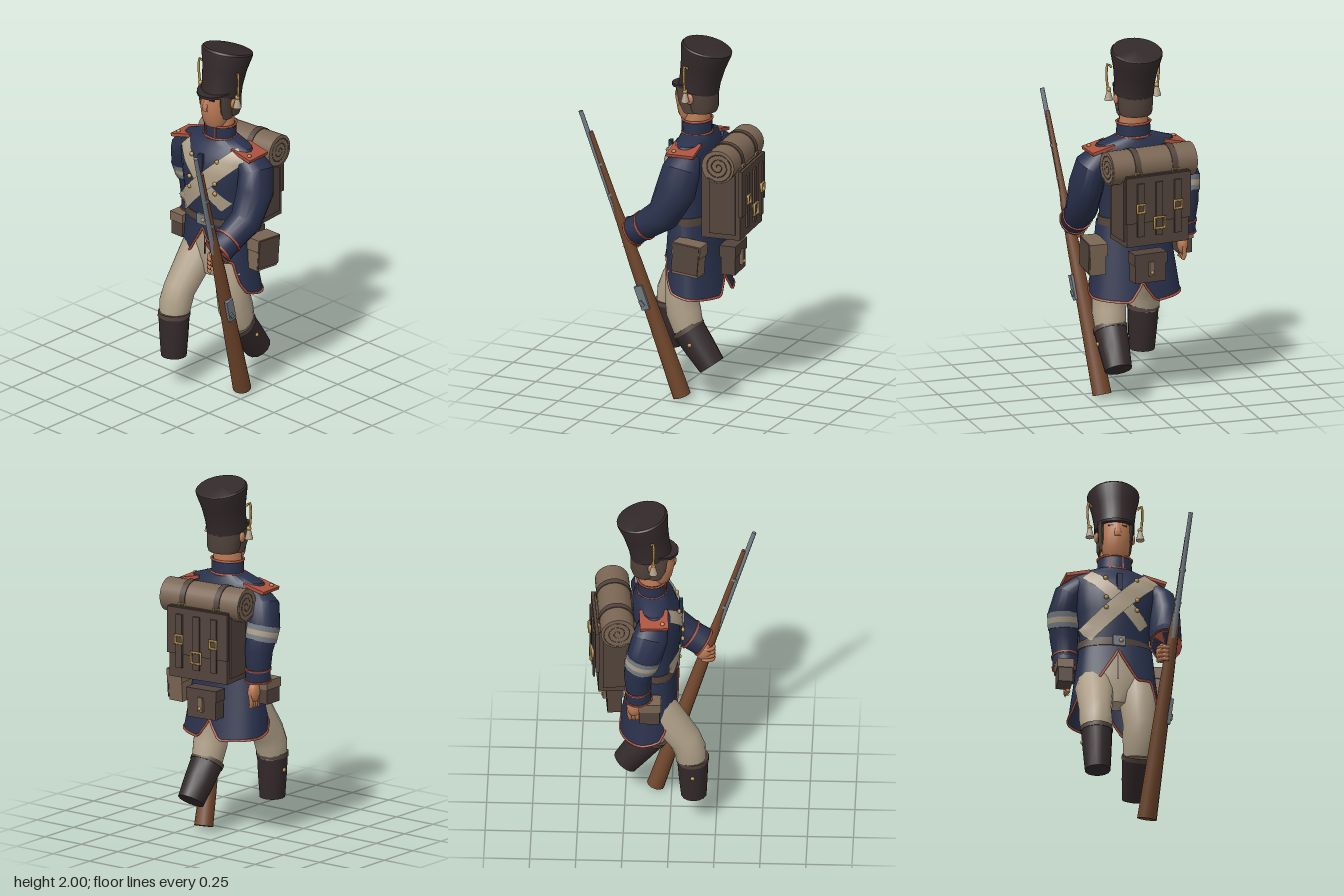
import * as THREE from 'three';
import { toCreasedNormals } from 'three/addons/utils/BufferGeometryUtils.js';

export function createModel() {
  const model = new THREE.Group();
  const paint = (name, color, open) => {
    const m = new THREE.MeshStandardMaterial({ color });
    m.name = name;
    if (open) m.side = THREE.DoubleSide;
    return m;
  };
  const navy = paint('navy cloth', 0x29314c, true), red = paint('red trim', 0xac523e);
  const cream = paint('cream cloth', 0xb0a189, true), black = paint('black leather', 0x33292b);
  const brown = paint('brown leather', 0x53443c), tan = paint('tan canvas', 0x7b6654);
  const skin = paint('skin', 0xbd7c56), wood = paint('wood', 0x70462b);
  const steel = paint('steel', 0x747d86), gold = paint('brass', 0xb5904a);

  const add = (name, geo, mat, parent = model, p = [0, 0, 0], r = [0, 0, 0], s = [1, 1, 1]) => {
    const m = new THREE.Mesh(geo, mat);
    m.name = name;
    m.position.set(...p); m.rotation.set(...r); m.scale.set(...s);
    parent.add(m);
    return m;
  };
  const box = (name, mat, size, p, parent, r) => add(name, new THREE.BoxGeometry(...size), mat, parent, p, r);
  const ball = (name, mat, s, p, parent) => add(name, new THREE.SphereGeometry(1, 12, 8), mat, parent, p, [0, 0, 0], s);
  const tube = (name, mat, pts, r, parent, closed = false) => add(name, new THREE.TubeGeometry(
    new THREE.CatmullRomCurve3(pts.map(q => new THREE.Vector3(...q)), closed), pts.length * 3, r, 5, closed), mat, parent);

  // Closed skin over rings [x, y, z, rx, rz]; rings lie level, or square to the path when "bend" is set
  function loft(name, mat, rings, parent = model, bend = false, n = 14) {
    const pos = [], idx = [], c = rings.map(r => new THREE.Vector3(r[0], r[1], r[2]));
    rings.forEach((r, i) => {
      const t = new THREE.Vector3(0, 1, 0);
      if (bend) t.subVectors(c[Math.min(i + 1, c.length - 1)], c[Math.max(i - 1, 0)]).normalize();
      const u = new THREE.Vector3(1, 0, 0).addScaledVector(t, -t.x).normalize();
      const v = new THREE.Vector3().crossVectors(t, u);
      for (let j = 0; j < n; j++) {
        const a = j / n * Math.PI * 2;
        pos.push(...c[i].clone().addScaledVector(u, Math.cos(a) * r[3]).addScaledVector(v, Math.sin(a) * (r[4] ?? r[3])).toArray());
      }
    });
    const last = rings.length - 1, c0 = pos.length / 3;
    pos.push(...c[0].toArray(), ...c[last].toArray());
    for (let j = 0; j < n; j++) {
      const k = (j + 1) % n;
      for (let i = 0; i < last; i++) {
        const a = i * n + j, b = i * n + k;
        idx.push(a, b, b + n, a, b + n, a + n);
      }
      idx.push(c0, k, j, c0 + 1, last * n + j, last * n + k);
    }
    const g = new THREE.BufferGeometry();
    g.setAttribute('position', new THREE.Float32BufferAttribute(pos, 3));
    g.setIndex(idx);
    return add(name, toCreasedNormals(g, 0.65), mat, parent);
  }

  // Grid surface from a point rule
  function sheet(name, mat, nu, nv, rule, parent) {
    const pos = [], idx = [];
    for (let i = 0; i <= nu; i++) for (let j = 0; j <= nv; j++) pos.push(...rule(i / nu, j / nv));
    for (let i = 0; i < nu; i++) for (let j = 0; j < nv; j++) {
      const a = i * (nv + 1) + j, b = a + nv + 1;
      idx.push(a, a + 1, b, b, a + 1, b + 1);
    }
    const g = new THREE.BufferGeometry();
    g.setAttribute('position', new THREE.Float32BufferAttribute(pos, 3));
    g.setIndex(idx);
    g.computeVertexNormals();
    return add(name, g, mat, parent);
  }
  const lookup = (table, x) => {
    let i = 1;
    while (i < table.length - 1 && x > table[i][0]) i++;
    const [a, b] = [table[i - 1], table[i]], t = THREE.MathUtils.clamp((x - a[0]) / (b[0] - a[0]), 0, 1);
    return a.map((q, k) => THREE.MathUtils.lerp(q, b[k], t));
  };

  // Torso, turned slightly
  const torso = new THREE.Group();
  torso.name = 'upperBody';
  torso.rotation.y = 0.07;
  model.add(torso);
  const chest = [[0, 0.97, -0.085, 0.2, 0.115], [0, 1.06, -0.08, 0.195, 0.118], [0, 1.2, -0.075, 0.205, 0.135],
    [0, 1.33, -0.075, 0.225, 0.135], [0, 1.41, -0.09, 0.24, 0.118], [0, 1.45, -0.1, 0.22, 0.092], [0, 1.485, -0.1, 0.11, 0.08]];
  loft('coatBody', navy, chest, torso, false, 24);
  const chestZ = (x, y) => {
    const [, z, rx, rz] = lookup(chest.map(r => r.slice(1)), y);
    return z + rz * Math.sqrt(Math.max(0.15, 1 - (x / rx) ** 2));
  };
  const strap = (name, a, b, w, lift) => sheet(name, cream, 16, 2, (u, v) => {
    const dx = b[0] - a[0], dy = b[1] - a[1], l = Math.hypot(dx, dy), k = (v - 0.5) * w / l;
    const x = a[0] + dx * u - dy * k, y = a[1] + dy * u + dx * k;
    return [x, y, chestZ(x, y) + lift];
  }, torso);
  strap('crossBeltUnder', [-0.165, 1.42], [0.145, 1.115], 0.075, 0.006);
  strap('crossBeltOver', [0.206, 1.43], [-0.182, 1.05], 0.094, 0.014);
  for (const x of [-0.075, 0.098]) for (const y of [1.2, 1.26, 1.385])
    ball('coatButton', gold, [0.013, 0.013, 0.01], [x, y, chestZ(x, y) + 0.012], torso);
  box('coatPlacket', navy, [0.03, 0.1, 0.02], [0, 1.36, 0.056], torso);
  loft('waistBelt', brown, [[0, 0.99, -0.083, 0.207, 0.122], [0, 1.035, -0.083, 0.204, 0.122]], torso, false, 24);
  box('beltBuckle', steel, [0.07, 0.06, 0.012], [0, 1.015, 0.044], torso);
  ball('buckleStud', gold, [0.012, 0.012, 0.008], [0.01, 1.015, 0.051], torso);
  for (const s of [-1, 1]) {
    box('shoulderStrap', red, [0.135, 0.018, 0.155], [s * 0.212, 1.431, -0.1], torso, [0, 0, -s * 0.24]);
    ball('shoulderButton', gold, [0.012, 0.01, 0.012], [s * 0.25, 1.433, -0.055], torso);
  }

  // Collar
  loft('collar', navy, [[0, 1.46, -0.1, 0.096, 0.081], [0, 1.555, -0.1, 0.093, 0.079]], model, false, 18);
  for (const y of [1.482, 1.556]) tube('collarTrim', red, Array.from({ length: 16 }, (_, i) => {
    const a = i / 8 * Math.PI;
    return [Math.cos(a) * 0.094, y, -0.1 + Math.sin(a) * 0.08];
  }), 0.0065, model, true);
  for (const x of [-0.035, 0.035]) box('collarPiping', red, [0.008, 0.08, 0.008], [x, 1.52, -0.026]);

  // Coat skirt with cut-away front, side tails and back vent
  const hem = [[0, 0.96], [0.48, 0.79], [0.95, 0.8], [1.12, 0.68], [1.3, 0.62], [1.6, 0.595], [2.85, 0.58], [3.1416, 0.68]];
  const skirtPoint = (u, v) => {
    const phi = (u * 2 - 1) * Math.PI, low = lookup(hem, Math.abs(phi))[1], c = Math.cos(phi);
    const y = THREE.MathUtils.lerp(1.0, low, v), k = (1 - y) / 0.42;
    const depth = c > 0 ? (0.12 + 0.05 * k) * c ** 0.7 : (0.12 + 0.03 * k) * c;
    return [Math.sin(phi) * (0.2 + 0.055 * k), y, -0.085 - 0.045 * k + depth + (c > 0 ? 0.02 * k * c : 0)];
  };
  sheet('coatSkirt', navy, 72, 5, skirtPoint);
  tube('skirtTrim', red, Array.from({ length: 72 }, (_, i) => skirtPoint(i / 72, 1)), 0.007, model, true);

  // Breeches, calves and gaiters
  loft('breechesSeat', cream, [[0, 0.67, -0.06, 0.06, 0.06], [0, 0.76, -0.075, 0.15, 0.09], [0, 0.83, -0.08, 0.175, 0.1],
    [0, 0.99, -0.085, 0.185, 0.108]], model, false, 20);
  box('breechesFly', black, [0.006, 0.14, 0.006], [0, 0.87, 0.021]);
  loft('rightLeg', cream, [[-0.11, 0.9, -0.1, 0.085, 0.08], [-0.12, 0.74, -0.04, 0.105, 0.098], [-0.133, 0.57, 0.08, 0.09],
    [-0.135, 0.5, 0.108, 0.093, 0.088], [-0.135, 0.42, 0.12, 0.08]], model, true);
  loft('leftLeg', cream, [[0.11, 0.9, -0.1, 0.085, 0.08], [0.122, 0.72, -0.07, 0.104, 0.1], [0.132, 0.57, -0.065, 0.092],
    [0.135, 0.49, -0.08, 0.095, 0.098], [0.135, 0.39, -0.11, 0.085]], model, true);
  const gaiter = (side, top, end, r) => {
    const at = (t, k) => [...top.map((q, i) => THREE.MathUtils.lerp(q, end[i], t)), k];
    loft(side + 'Gaiter', black, [at(0, r), at(0.5, r * 0.93), at(1, r * 0.82)], model, true);
    loft(side + 'GaiterCuff', brown, [at(-0.03, r * 1.04), at(0.07, r * 1.04)], model, true);
    const p = at(0.35, 0);
    ball('gaiterButton', gold, [0.01, 0.012, 0.012], [p[0] + Math.sign(p[0]) * r * 0.94, p[1], p[2]]);
  };
  gaiter('right', [-0.133, 0.44, 0.123], [-0.128, 0.19, 0.13], 0.086);
  gaiter('left', [0.135, 0.395, -0.105], [0.137, 0.2, -0.25], 0.092);

  // Sleeves, cuffs and hands
  loft('leftSleeve', navy, [[0.195, 1.395, -0.12, 0.055, 0.085], [0.25, 1.335, -0.12, 0.083, 0.108], [0.268, 1.22, -0.095, 0.092, 0.114],
    [0.268, 1.07, -0.02, 0.088, 0.095], [0.245, 0.96, 0.14, 0.075]], model, true);
  loft('rightSleeve', navy, [[-0.195, 1.395, -0.09, 0.055, 0.08], [-0.25, 1.335, -0.105, 0.083, 0.1], [-0.276, 1.23, -0.135, 0.087, 0.097],
    [-0.268, 1.1, -0.17, 0.078], [-0.26, 0.96, -0.165, 0.066]], model, true);
  const cuff = (side, a, b, r) => {
    const at = t => a.map((q, i) => THREE.MathUtils.lerp(q, b[i], t));
    loft(side + 'Cuff', navy, [[...at(0), r], [...at(1), r]], model, true);
    for (const t of [0, 0.88]) loft(side + 'CuffTrim', red, [[...at(t), r + 0.006], [...at(t + 0.12), r + 0.006]], model, true);
  };
  cuff('left', [0.25, 0.99, 0.095], [0.242, 0.94, 0.175], 0.08);
  cuff('right', [-0.263, 1.0, -0.17], [-0.26, 0.925, -0.165], 0.07);
  const bands = [[steel, 0, 0.34], [cream, 0.34, 0.68], [steel, 0.68, 1]];
  for (const [mat, a, b] of bands) loft('armBand', mat, [a, b].map(t => [-0.276 + 0.004 * t, 1.237 - 0.085 * t, -0.135 - 0.022 * t, 0.09 - 0.004 * t, 0.1 - 0.008 * t]), model, true);
  ball('leftPalm', skin, [0.035, 0.055, 0.045], [0.22, 0.895, 0.17]);
  ball('rightPalm', skin, [0.03, 0.06, 0.042], [-0.25, 0.865, -0.19]);
  for (let i = 0; i < 4; i++) {
    const y = 0.925 - i * 0.024;
    tube('leftFinger', skin, [[0.2, y, 0.16], [0.203, y - 0.006, 0.195], [0.225, y - 0.012, 0.222], [0.25, y - 0.015, 0.225]], 0.012);
    tube('rightFinger', skin, [[-0.25, 0.855, -0.225 + i * 0.023], [-0.253, 0.805, -0.218 + i * 0.021], [-0.245, 0.78, -0.212 + i * 0.019]], 0.012);
  }

  // Head
  loft('neck', skin, [[0, 1.52, -0.1, 0.084, 0.074], [0, 1.64, -0.105, 0.076, 0.074]]);
  loft('face', skin, [[0, 1.552, -0.055, 0.055, 0.045], [0, 1.585, -0.06, 0.074, 0.066], [0, 1.67, -0.07, 0.084, 0.094], [0, 1.748, -0.085, 0.086, 0.097]], model, false, 18);
  loft('hair', brown, [[0, 1.605, -0.138, 0.086, 0.072], [0, 1.63, -0.135, 0.095, 0.084], [0, 1.76, -0.123, 0.1, 0.098]], model, false, 18);
  loft('nose', skin, [[0, 1.655, 0.015, 0.02, 0.012], [0, 1.68, 0.015, 0.02, 0.018], [0, 1.735, 0.005, 0.012, 0.01]], model, false, 10);
  for (const s of [-1, 1]) {
    loft('sideburn', brown, [[s * 0.07, 1.6, -0.085, 0.017, 0.035], [s * 0.078, 1.66, -0.068, 0.015, 0.045], [s * 0.083, 1.75, -0.062, 0.015, 0.05]]);
    box('eye', black, [0.03, 0.008, 0.008], [s * 0.037, 1.722, 0.004], model, [0, s * 0.25, 0]);
    ball('ear', skin, [0.012, 0.03, 0.022], [s * 0.1, 1.69, -0.1]);
  }

  // Tall cap with visor, cords and tassels
  loft('cap', black, [[0, 1.725, -0.107, 0.11, 0.114], [0, 1.78, -0.117, 0.11, 0.114], [0, 1.87, -0.135, 0.122, 0.124],
    [0, 1.95, -0.153, 0.142, 0.141], [0, 1.965, -0.156, 0.142, 0.141], [0, 1.973, -0.158, 0.134, 0.132]], model, true, 28);
  add('visor', new THREE.CylinderGeometry(1, 1, 0.016, 28), black, model, [0, 1.755, -0.075], [0.1, 0, 0], [0.102, 1, 0.118]);
  for (const s of [-1, 1]) {
    tube('capCord', gold, [[s * 0.125, 1.87, -0.1], [s * 0.143, 1.89, -0.09], [s * 0.15, 1.84, -0.088], [s * 0.142, 1.73, -0.09]], 0.007);
    ball('cordKnot', gold, [0.014, 0.014, 0.014], [s * 0.138, 1.745, -0.09]);
    add('tassel', new THREE.CylinderGeometry(0.01, 0.024, 0.055, 10), cream, model, [s * 0.138, 1.712, -0.09]);
  }

  // Backpack with flap, straps and buckles
  const pack = new THREE.Group();
  pack.name = 'backpack';
  pack.position.set(-0.025, 1.14, -0.305);
  pack.rotation.y = 0.1;
  model.add(pack);
  box('packBody', brown, [0.37, 0.4, 0.22], [0, 0, 0.01], pack);
  box('packFlap', brown, [0.385, 0.26, 0.02], [0, 0.065, -0.105], pack);
  for (const s of [-1, 1]) box('packSide', brown, [0.012, 0.34, 0.15], [s * 0.188, 0, 0], pack);
  for (const [x, y, r] of [[-0.11, 0.02, 0.031], [0, -0.07, 0.043], [0.11, 0.02, 0.031]]) {
    box('packStrap', brown, [0.04, 0.3, 0.012], [x, 0.01, -0.12], pack);
    add('packBuckle', new THREE.TorusGeometry(r, 0.009, 4, 4).rotateZ(Math.PI / 4), gold, pack, [x, y, -0.128]);
  }
  // Blanket roll
  add('blanketRoll', new THREE.CylinderGeometry(0.093, 0.093, 0.5, 24).rotateZ(Math.PI / 2), tan, pack, [0.005, 0.23, 0.003]);
  for (const x of [-0.11, 0.11]) {
    add('rollStrap', new THREE.CylinderGeometry(0.098, 0.098, 0.035, 24).rotateZ(Math.PI / 2), brown, pack, [x, 0.23, 0.003]);
    add('rollBuckle', new THREE.TorusGeometry(0.026, 0.006, 4, 4).rotateZ(Math.PI / 4), gold, pack, [x, 0.195, -0.094]);
  }
  for (const s of [-1, 1]) tube('rollSpiral', brown, Array.from({ length: 25 }, (_, i) => {
    const a = i * 0.75, r = 0.008 + i * 0.0033;
    return [0.005 + s * 0.249, 0.23 + Math.sin(a) * r, 0.003 + Math.cos(a) * r];
  }), 0.003, pack);

  // Pouches on the belt
  const pouch = (name, mat, lidMat, size, p, r) => {
    const g = new THREE.Group();
    g.name = name;
    g.position.set(...p); g.rotation.set(...r);
    model.add(g);
    box('pouchBody', mat, size, [0, 0, 0], g);
    box('pouchLid', lidMat, [size[0] + 0.012, size[1] * 0.4, size[2] + 0.012], [0, size[1] * 0.33, 0], g);
    return g;
  };
  const left = pouch('leftBag', tan, tan, [0.09, 0.175, 0.155], [0.25, 0.835, -0.165], [-0.08, 0, 0]);
  box('bagFlap', brown, [0.008, 0.16, 0.155], [0.051, 0.008, 0], left);
  pouch('rightBag', brown, tan, [0.08, 0.13, 0.11], [-0.277, 0.862, -0.105], [0, 0, 0]);
  const back = pouch('backPouch', brown, brown, [0.18, 0.16, 0.08], [-0.01, 0.79, -0.31], [0, 0.1, 0]);
  box('pouchTab', tan, [0.03, 0.08, 0.02], [0, 0.0, -0.05], back);
  ball('pouchStud', gold, [0.01, 0.01, 0.008], [0, -0.02, -0.062], back);

  // Musket, built upright then leaned along its line
  const musket = new THREE.Group();
  musket.name = 'musket';
  const foot = new THREE.Vector3(0.175, 0.018, -0.088), line = new THREE.Vector3(0.337, 1.625, 0.43).sub(foot), len = line.length();
  musket.position.copy(foot);
  musket.quaternion.setFromUnitVectors(new THREE.Vector3(0, 1, 0), line.normalize());
  model.add(musket);
  loft('stock', wood, [[0, 0, 0, 0.054, 0.049], [0, 0.3, 0, 0.047, 0.044], [0, 0.5, 0, 0.043, 0.04], [0, 0.8, 0, 0.036, 0.036],
    [0, 1.05, 0, 0.027, 0.026], [0, 1.15, -0.004, 0.018, 0.018], [0, 1.57, -0.004, 0.012, 0.013]], musket, false, 12);
  add('barrel', new THREE.CylinderGeometry(0.012, 0.016, len - 1.0, 10), steel, musket, [0, (len + 1.0) / 2, 0.013]);
  for (const y of [1.2, 1.38]) add('barrelBand', new THREE.CylinderGeometry(0.019, 0.02, 0.015, 10), steel, musket, [0, y, 0.003]);
  box('lockPlate', steel, [0.02, 0.14, 0.048], [0.04, 0.6, 0.01], musket);
  box('lockHammer', steel, [0.016, 0.035, 0.02], [0.05, 0.57, 0.018], musket, [0.4, 0, 0]);
  return model;
}
